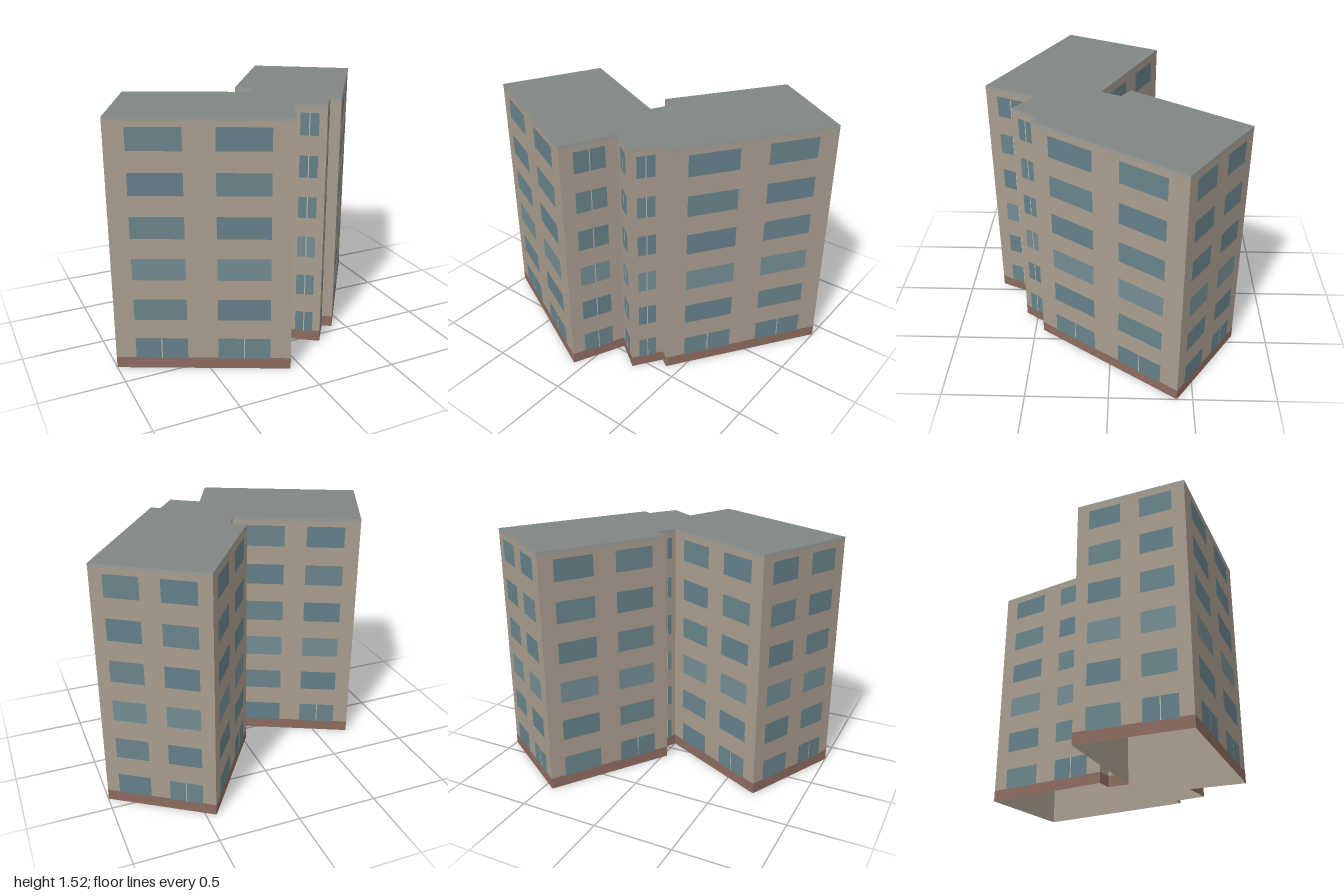
import * as THREE from 'three';

const HEIGHT = 1.525, PLINTH = 0.07, CAP = 0.02;
const FLOORS = 6, STOREY = 0.2545, SILL = 0.067, WINDOW_H = 0.133;

// Footprint corners [x, z], walked left to right as seen from outside.
// windows: 2 = pair of wide windows, 1 = one narrow split window.
// split: which ground-floor windows of a pair have a centre bar.
const WALLS = [
  { at: [-1, 0.33], windows: 2, split: [0, 1], name: 'leftWingFront' },
  { at: [-0.07, 0.78], windows: 1, name: 'leftWingReturn' },
  { at: [0.08, 0.46], windows: 1, name: 'stairFront' },
  { at: [0.245, 0.575], windows: 1, name: 'stairSide' },
  { at: [0.36, 0.41], windows: 0, name: 'rightWingReturn' },
  { at: [0.415, 0.445], windows: 2, split: [0, 1], name: 'rightWingFront' },
  { at: [0.998, -0.405], windows: 2, split: [1], name: 'rightWingEnd' },
  { at: [0.44, -0.785], windows: 2, split: [1], name: 'rightWingBack' },
  { at: [-0.025, -0.105], windows: 0, name: 'backNotch' },
  { at: [0.06, -0.05], windows: 1, name: 'backReturn' },
  { at: [0, 0.07], windows: 2, split: [1], name: 'leftWingBack' },
  { at: [-0.708, -0.277], windows: 2, split: [1], name: 'leftWingEnd' },
];

const paint = (color, side = THREE.FrontSide) =>
  new THREE.MeshStandardMaterial({ color, side });

export function createModel() {
  const building = new THREE.Group();
  building.name = 'apartmentBuilding';

  const wallMat = paint(0xa99c8e, THREE.DoubleSide);
  const roofMat = paint(0x7e8683, THREE.DoubleSide);
  const plinthMat = paint(0x8e6c5f);
  const capMat = paint(0x9a9d97);
  const barMat = paint(0xbdb9a8);
  const glassMats = [paint(0x66808a), paint(0x6a848c), paint(0x738d94)];

  // Upright panel facing local +z, from x0..x1 and y0..y1
  const panel = (parent, name, mat, x0, x1, y0, y1, lift) => {
    const mesh = new THREE.Mesh(new THREE.PlaneGeometry(x1 - x0, y1 - y0), mat);
    mesh.position.set((x0 + x1) / 2, (y0 + y1) / 2, lift);
    mesh.name = name;
    parent.add(mesh);
  };

  WALLS.forEach((wall, i) => {
    const [x, z] = wall.at;
    const [nx, nz] = WALLS[(i + 1) % WALLS.length].at;
    const length = Math.hypot(nx - x, nz - z);

    const side = new THREE.Group();
    side.name = wall.name;
    side.position.set(x, 0, z);
    side.rotation.y = Math.atan2(z - nz, nx - x);
    building.add(side);

    panel(side, 'wall', wallMat, 0, length, 0, HEIGHT, 0);
    panel(side, 'plinth', plinthMat, 0, length, 0, PLINTH, 0.001);
    panel(side, 'roofEdge', capMat, 0, length, HEIGHT - CAP, HEIGHT, 0.001);

    // Windows as fractions of the wall length
    const spans = [[], [[0.23, 0.77]], [[0.115, 0.412], [0.586, 0.882]]][wall.windows];
    for (let floor = 0; floor < FLOORS; floor++) {
      const y = SILL + floor * STOREY;
      spans.forEach(([a, b], k) => {
        const glass = glassMats[floor === 2 ? 2 : (floor + i + k) % 2];
        panel(side, 'window', glass, a * length, b * length, y, y + WINDOW_H, 0.002);
        if (wall.windows === 1 || (floor === 0 && wall.split.includes(k))) {
          const mid = (a + b) / 2 * length;
          panel(side, 'windowBar', barMat, mid - 0.003, mid + 0.003, y, y + WINDOW_H, 0.003);
        }
      });
    }
  });

  // Flat roof over the whole footprint
  const outline = new THREE.Shape(WALLS.map(({ at: [x, z] }) => new THREE.Vector2(x, -z)));
  const roof = new THREE.Mesh(new THREE.ShapeGeometry(outline).rotateX(-Math.PI / 2), roofMat);
  roof.position.y = HEIGHT;
  roof.name = 'roof';
  building.add(roof);

  return building;
}
